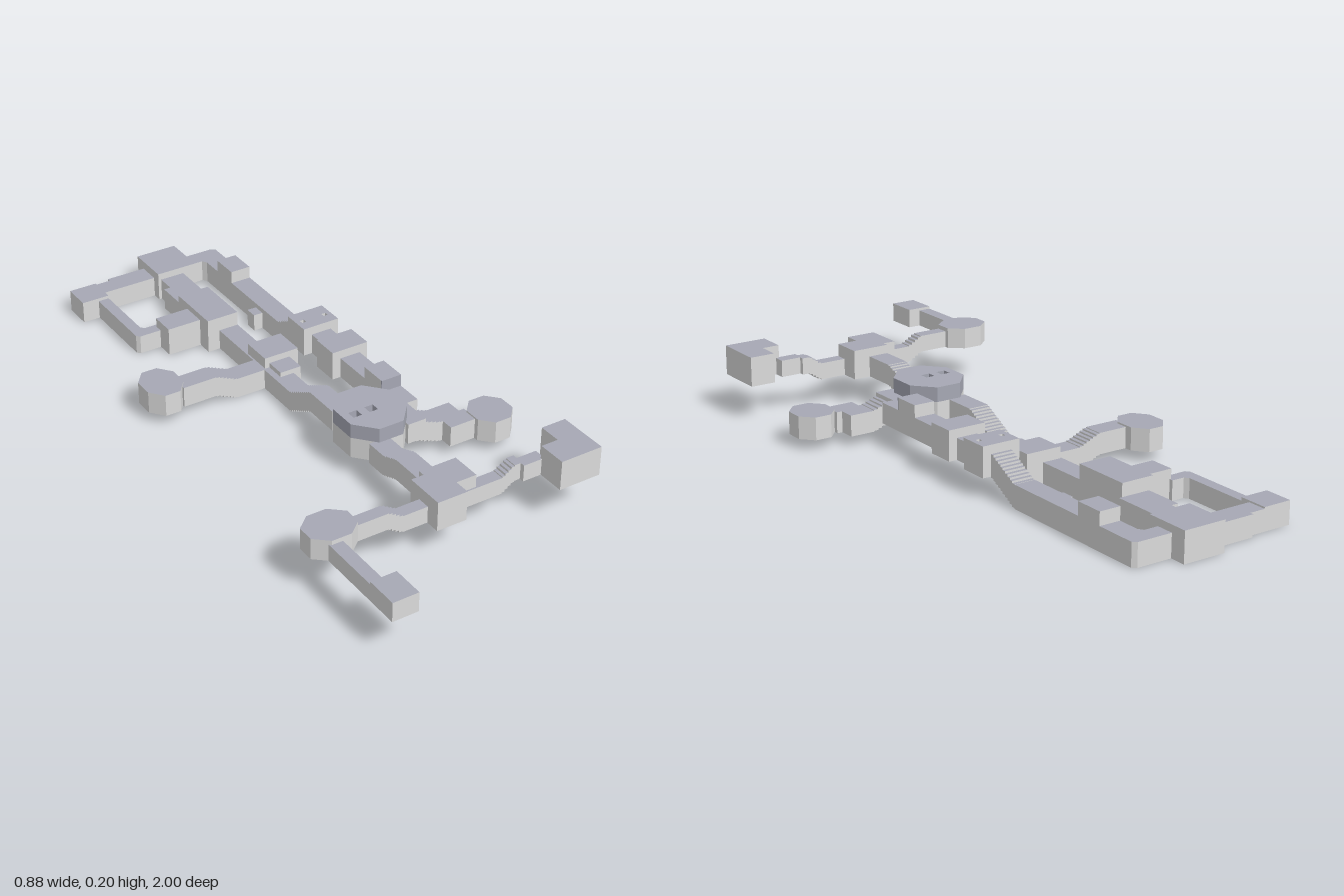
import * as THREE from 'three';

export function createModel() {
  const model = new THREE.Group();
  const mat = (name, color) => {
    const m = new THREE.MeshStandardMaterial({ color });
    m.name = name;
    return m;
  };
  const wall = mat('pale grey wall', 0xdbdbdb);
  const ceiling = mat('blue grey ceiling', 0xa6a8b4);
  const floor = mat('brown grey floor', 0xada391);

  // Upright prism: brown floor, blue-grey ceiling, pale walls; optional through-going pillars
  function prism(name, points, y0, y1, { pillars = [], side = wall } = {}) {
    const flat = (pts) => pts.map(([x, z]) => new THREE.Vector2(x, -z));
    const shape = new THREE.Shape(flat(points));
    for (const [x, z, s] of pillars) {
      shape.holes.push(new THREE.Path(flat([[x - s, z - s], [x + s, z - s], [x + s, z + s], [x - s, z + s]])));
    }
    const geo = new THREE.ExtrudeGeometry(shape, { depth: y1 - y0, bevelEnabled: false });
    geo.rotateX(-Math.PI / 2).translate(0, y0, 0);
    const lids = geo.groups[0].count, total = geo.attributes.position.count;
    geo.clearGroups();
    geo.addGroup(0, lids / 2, 0);
    geo.addGroup(lids / 2, lids / 2, 1);
    geo.addGroup(lids, total - lids, 2);
    const mesh = new THREE.Mesh(geo, [floor, ceiling, side]);
    mesh.name = name;
    model.add(mesh);
  }
  const box = (name, x0, x1, z0, z1, y0, y1, opts) =>
    prism(name, [[x0, z0], [x0, z1], [x1, z1], [x1, z0]], y0, y1, opts);

  // Eight-sided room inside a rectangle
  function octagon(name, x0, x1, z0, z1, y0, y1, opts) {
    const a = (x1 - x0) * 0.29, b = (z1 - z0) * 0.29;
    prism(name, [[x0 + a, z0], [x0, z0 + b], [x0, z1 - b], [x0 + a, z1],
      [x1 - a, z1], [x1, z1 - b], [x1, z0 + b], [x1 - a, z0]], y0, y1, opts);
  }

  // Stair passage along 'x' or 'z' from a to b; floor climbs from ya to yb
  function stairs(name, axis, a, b, c0, c1, ya, yb, height, n) {
    for (let i = 0; i < n; i++) {
      const p = a + (b - a) * i / n, q = a + (b - a) * (i + 1) / n;
      const s = Math.min(p, q), e = Math.max(p, q);
      const y = ya + (yb - ya) * (i + 0.5) / n;
      if (axis === 'x') box(name, s, e, c0, c1, y, y + height);
      else box(name, c0, c1, s, e, y, y + height);
    }
  }

  // Front wing: centre room, left room, right octagon and end room
  box('frontRoom', -0.075, 0.02, 0.6, 0.725, 0.083, 0.175);
  box('frontRoom', -0.035, 0.085, 0.58, 0.675, 0.083, 0.175);
  box('frontLeftCorridor', 0.02, 0.17, 0.64, 0.68, 0.083, 0.135);
  stairs('frontLeftStairs', 'x', 0.17, 0.21, 0.64, 0.68, 0.083, 0.11, 0.052, 4);
  box('frontLeftCorridor', 0.21, 0.235, 0.64, 0.68, 0.11, 0.162);
  box('frontLeftCorridor', 0.23, 0.3, 0.655, 0.695, 0.11, 0.162);
  box('frontLeftRoom', 0.29, 0.425, 0.69, 0.78, 0.11, 0.202);
  box('frontLeftRoom', 0.345, 0.425, 0.62, 0.69, 0.11, 0.202);
  box('frontRightCorridor', -0.155, -0.07, 0.64, 0.68, 0.083, 0.135);
  stairs('frontRightStairs', 'x', -0.2, -0.155, 0.64, 0.68, 0.11, 0.083, 0.052, 4);
  box('frontRightCorridor', -0.3, -0.2, 0.64, 0.68, 0.11, 0.162);
  octagon('frontRightOctagon', -0.44, -0.295, 0.59, 0.715, 0.11, 0.175);
  box('endCorridor', -0.405, -0.365, 0.69, 0.91, 0.11, 0.162);
  box('endRoom', -0.405, -0.325, 0.9, 1, 0.11, 0.17);

  // Passage from the front room down to the central octagon
  box('frontPassage', -0.035, 0.03, 0.47, 0.585, 0.083, 0.148);
  stairs('frontPassageStairs', 'z', 0.47, 0.41, -0.035, 0.03, 0.083, 0.06, 0.065, 5);
  box('frontPassage', -0.035, 0.03, 0.34, 0.41, 0.06, 0.125);

  // Central octagon with two pillars and a raised ceiling
  const pillars = [[-0.024, 0.25, 0.014], [0.03, 0.25, 0.014]];
  octagon('centralOctagon', -0.063, 0.127, 0.135, 0.35, 0.06, 0.125, { pillars });
  octagon('centralCeiling', -0.063, 0.127, 0.135, 0.35, 0.125, 0.17, { pillars, side: ceiling });

  // Side branch to the small left octagon
  box('branchLanding', 0.11, 0.17, 0.18, 0.32, 0.06, 0.125);
  stairs('branchStairs', 'x', 0.14, 0.22, 0.25, 0.32, 0.06, 0.03, 0.065, 6);
  box('branchCorridor', 0.22, 0.3, 0.25, 0.32, 0.03, 0.095);
  box('branchCorridor', 0.23, 0.318, 0.3, 0.36, 0.03, 0.095);
  octagon('branchOctagon', 0.314, 0.437, 0.28, 0.413, 0.03, 0.1);

  // Main corridor running back, with its stairs
  box('mainCorridor', -0.035, 0.03, 0.03, 0.15, 0.06, 0.125);
  stairs('mainStairs', 'z', 0.03, -0.08, -0.035, 0.03, 0.06, 0, 0.065, 10);
  box('mainCorridor', -0.035, 0.03, -0.5, -0.08, 0, 0.065);
  box('middleRoom', -0.03, 0.085, -0.33, -0.23, 0, 0.1);
  box('middleRoom', -0.015, 0.055, -0.23, -0.165, 0, 0.08);

  // Branch to the right octagon
  box('rightCorridor', -0.13, -0.03, -0.29, -0.225, 0, 0.065);
  stairs('rightStairs', 'x', -0.2, -0.13, -0.29, -0.225, 0.03, 0, 0.065, 6);
  box('rightCorridor', -0.31, -0.2, -0.29, -0.225, 0.03, 0.095);
  octagon('rightOctagon', -0.413, -0.295, -0.357, -0.21, 0.03, 0.1);

  // Left corridor: upper rooms, stairs and lower run
  box('leftCorridor', 0.14, 0.207, -0.33, 0.225, 0.06, 0.125);
  box('leftCorridorVault', 0.14, 0.207, 0.05, 0.137, 0.125, 0.163);
  box('leftCorridorVaultFront', 0.14, 0.207, 0.137, 0.14, 0.125, 0.163, { side: ceiling });
  box('leftRoom', 0.112, 0.234, -0.165, -0.078, 0.06, 0.152);
  box('pillarRoom', 0.112, 0.234, -0.33, -0.238, 0.06, 0.152,
    { pillars: [[0.135, -0.28, 0.007], [0.212, -0.28, 0.007]] });
  stairs('leftStairs', 'z', -0.33, -0.44, 0.14, 0.207, 0.06, 0, 0.068, 10);
  prism('leftLowerCorridor', [[0.14, -0.44], [0.207, -0.44], [0.207, -0.94], [0.195, -0.95],
    [0.08, -0.95], [0.08, -0.895], [0.13, -0.895], [0.14, -0.88]], 0, 0.07);
  box('leftLowerVault', 0.14, 0.207, -0.81, -0.72, 0.07, 0.11);
  box('leftAlcove', 0.11, 0.14, -0.57, -0.53, 0, 0.055);

  // Back rooms and the loop on the right
  box('backRoom', -0.05, 0.085, -1, -0.86, 0, 0.092);
  box('backPassage', -0.04, 0.04, -0.86, -0.8, 0, 0.07);
  box('backPassage', -0.062, 0.04, -0.8, -0.68, 0, 0.07);
  box('backHall', -0.075, 0.03, -0.68, -0.495, 0, 0.11);
  box('backHallWing', -0.185, -0.075, -0.625, -0.545, 0, 0.09);
  box('loopCorridor', -0.23, -0.05, -0.95, -0.89, 0, 0.065);
  box('loopCorridor', -0.18, -0.05, -0.962, -0.9, 0, 0.065);
  box('loopCornerRoom', -0.32, -0.23, -0.95, -0.86, 0, 0.07);
  prism('loopCorridor', [[-0.265, -0.86], [-0.265, -0.61], [-0.255, -0.6], [-0.18, -0.6],
    [-0.18, -0.637], [-0.22, -0.637], [-0.23, -0.65], [-0.23, -0.86]], 0, 0.06);

  return model;
}
